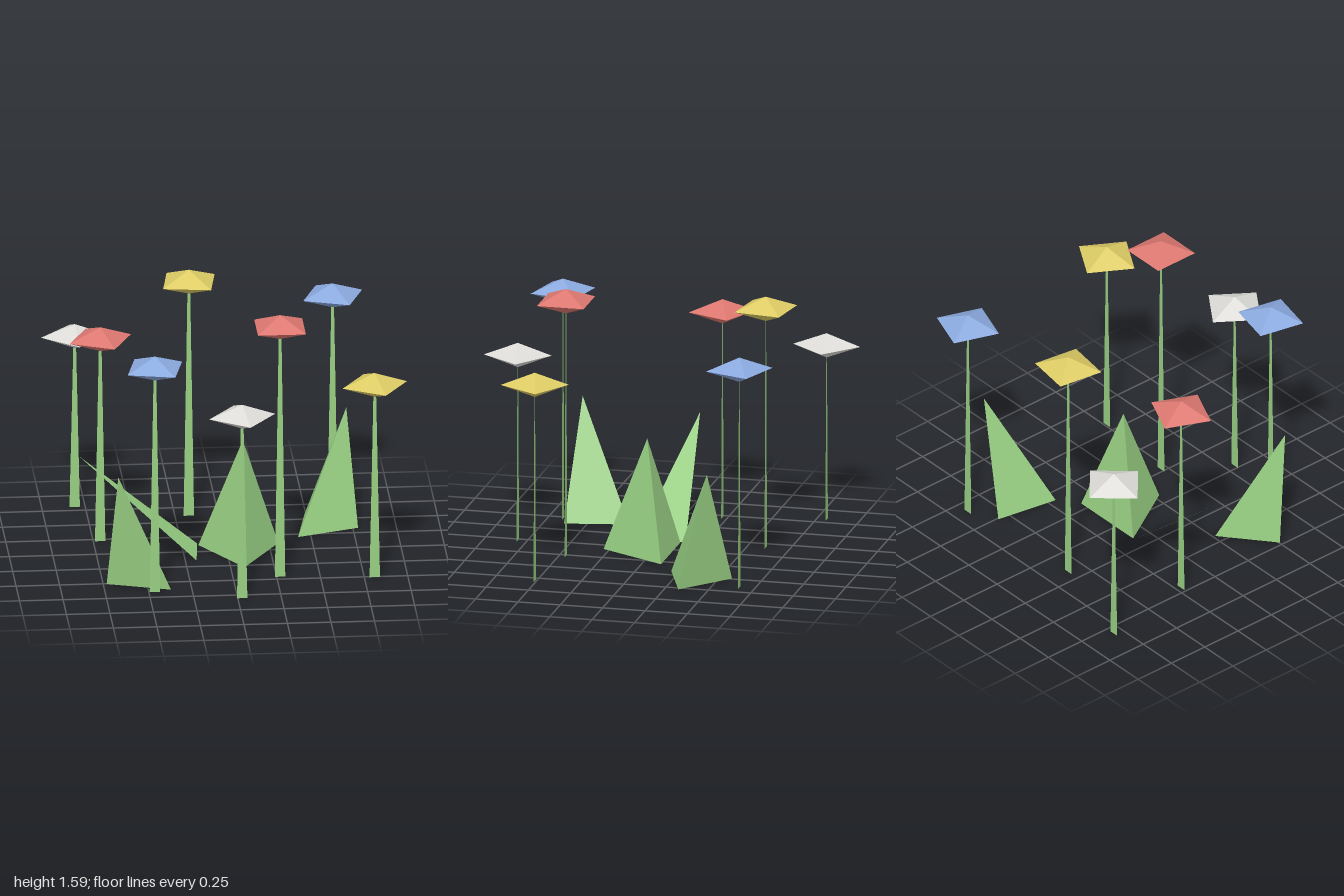
import * as THREE from 'three';

const mat = (name, color, extra = {}) => {
  const m = new THREE.MeshStandardMaterial({ color, flatShading: true, ...extra });
  m.name = name;
  return m;
};

// Flat faces given as lists of corner triples
function faces(triangles) {
  const geo = new THREE.BufferGeometry();
  geo.setAttribute('position', new THREE.Float32BufferAttribute(triangles.flat(2), 3));
  geo.computeVertexNormals();
  return geo;
}

export function createModel() {
  const model = new THREE.Group();
  model.name = 'flowerPatch';

  const green = mat('leafGreen', 0x96cd81, { side: THREE.DoubleSide });
  const petals = {
    white: mat('petalWhite', 0xdcdbd7),
    red: mat('petalRed', 0xdc7770),
    blue: mat('petalBlue', 0x8aa9de),
    yellow: mat('petalYellow', 0xdccb64),
  };

  const add = (parent, name, geo, material) => {
    const mesh = new THREE.Mesh(geo, material);
    mesh.name = name;
    parent.add(mesh);
    return mesh;
  };

  // Flowers: colour, x, head height, z, turn in degrees
  const R = 0.195, H = 0.0725;
  const flowers = [
    ['white', -0.81, 1.04, -0.81, 4],
    ['red', -0.71, 1.23, -0.22, 21],
    ['yellow', -0.17, 1.425, -0.61, 36.5],
    ['blue', 0.66, 1.3, -0.66, 25.5],
    ['red', 0.27, 1.52, 0.46, 45],
    ['yellow', 0.81, 1.17, 0.51, 14.5],
    ['white', 0.025, 1.105, 0.805, 10],
    ['blue', -0.465, 1.36, 0.66, 32.5],
  ];
  for (const [colour, x, y, z, turn] of flowers) {
    const flower = new THREE.Group();
    flower.name = colour + 'Flower';
    flower.position.set(x, 0, z);
    model.add(flower);

    // Flattened eight-sided bloom
    const bloom = add(flower, 'bloom', new THREE.OctahedronGeometry(1), petals[colour]);
    bloom.scale.set(R, H, R);
    bloom.position.y = y;
    bloom.rotation.y = THREE.MathUtils.degToRad(turn);

    // Flat tapering stem
    const b = 0.03, t = 0.008, top = y - H * 0.8;
    add(flower, 'stem', faces([
      [[-b, 0, 0], [b, 0, 0], [t, top, 0]],
      [[-b, 0, 0], [t, top, 0], [-t, top, 0]],
    ]), green);
  }

  // Open three-walled leaf clumps: tip, then base corners as x, z
  const clumps = [
    { tip: [0.09, 0.68, 0.025], base: [[-0.155, -0.11], [0.08, 0.285], [0.305, -0.11]] },
    { tip: [0.725, 0.68, -0.485], base: [[0.49, -0.575], [0.425, -0.2], [0.78, -0.33]] },
    { tip: [-0.67, 0.68, 0.595], base: [[-0.73, 0.505], [-0.37, 0.63], [-0.44, 0.265]] },
  ];
  for (const { tip, base } of clumps) {
    const ring = base.map(([x, z]) => [x, 0, z]);
    add(model, 'leafClump', faces(ring.map((p, i) => [p, ring[(i + 1) % 3], tip])), green);
  }

  // Single leaning leaf blade
  add(model, 'leaningLeaf', faces([
    [[-0.845, 0.58, -0.055], [-0.185, 0, 0.15], [-0.16, 0, -0.14]],
  ]), green);

  return model;
}
